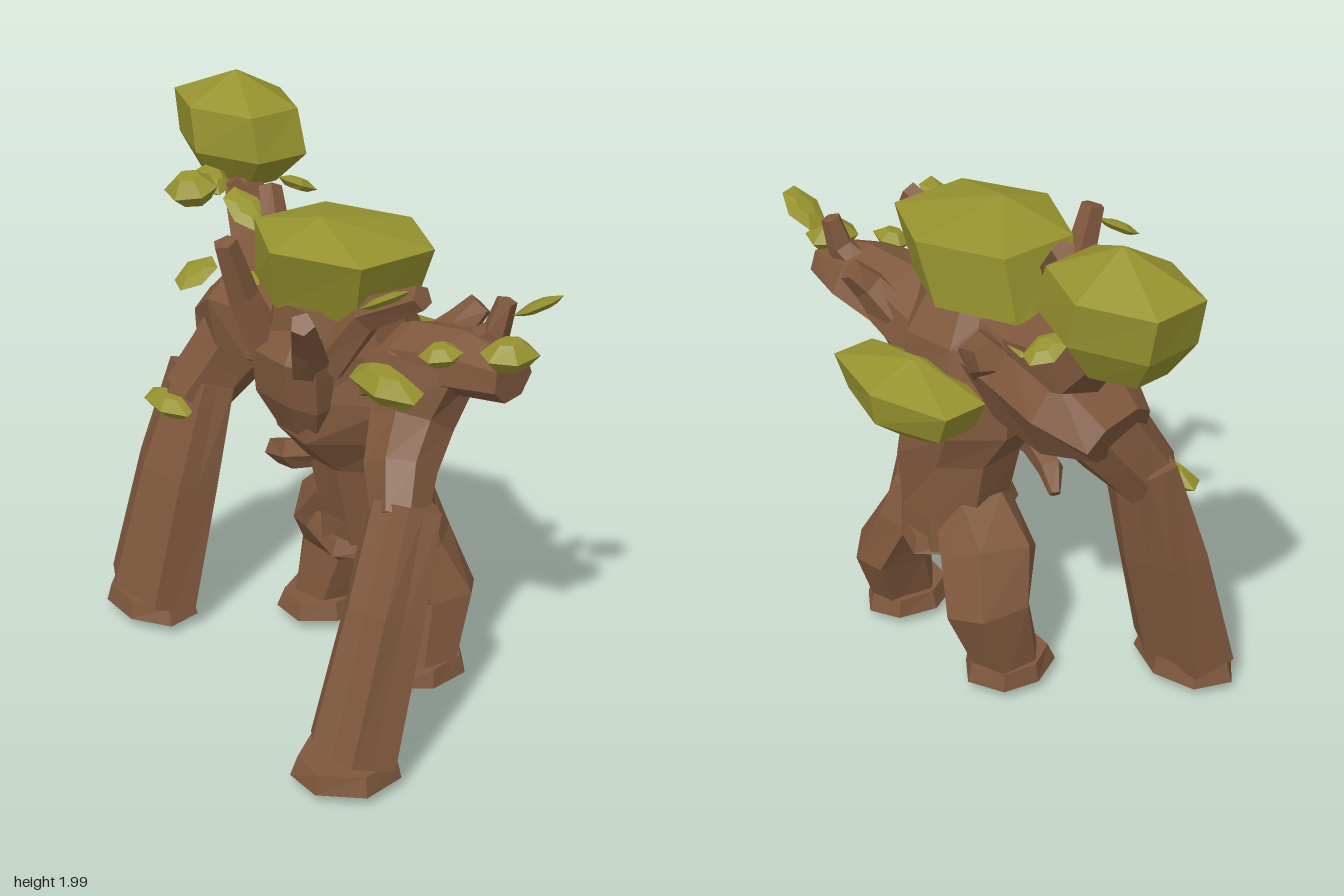
import * as THREE from 'three';

const bark = new THREE.MeshStandardMaterial({ color: 0x7f583d, flatShading: true });
bark.name = 'bark brown';
const leafGreen = new THREE.MeshStandardMaterial({ color: 0x96922f, flatShading: true });
leafGreen.name = 'moss green';

// Small seeded generator for rough, hand-hewn facets
let seed = 7;
const rnd = () => {
  seed = (seed * 16807) % 2147483647;
  return seed / 2147483647;
};

// Skins rings [x, y, z, halfWidth, halfDepth]; level keeps the rings horizontal
function loft(group, name, material, rings, { sides = 7, level = false, rough = 0.07, phase = 0.3, flute = 1 } = {}) {
  const centres = rings.map(r => new THREE.Vector3(r[0], r[1], r[2]));
  const Z = new THREE.Vector3(0, 0, 1);
  const angleJitter = Array.from({ length: sides }, () => (rnd() - 0.5) * rough * 3);
  const loops = rings.map((r, i) => {
    const t = level ? new THREE.Vector3(0, 1, 0)
      : centres[Math.min(i + 1, rings.length - 1)].clone().sub(centres[Math.max(i - 1, 0)]).normalize();
    const w = Z.clone().addScaledVector(t, -t.z).normalize();
    const u = t.clone().cross(w);
    return Array.from({ length: sides }, (_, j) => {
      const a = phase + (j / sides) * Math.PI * 2 + angleJitter[j];
      const k = (1 + (rnd() - 0.5) * 2 * rough) * (j % 2 ? flute : 1);
      return centres[i].clone().addScaledVector(u, r[3] * Math.cos(a) * k).addScaledVector(w, r[4] * Math.sin(a) * k);
    });
  });
  const pos = [];
  const tri = (...p) => p.forEach(v => pos.push(v.x, v.y, v.z));
  const last = rings.length - 1;
  for (let j = 0; j < sides; j++) {
    const n = (j + 1) % sides;
    for (let i = 0; i < last; i++) {
      const a = loops[i][j], b = loops[i + 1][j], c = loops[i + 1][n], d = loops[i][n];
      tri(a, b, d);
      tri(b, c, d);
    }
    tri(centres[0], loops[0][j], loops[0][n]);
    tri(centres[last], loops[last][n], loops[last][j]);
  }
  const geo = new THREE.BufferGeometry();
  geo.setAttribute('position', new THREE.Float32BufferAttribute(pos, 3));
  geo.computeVertexNormals();
  const mesh = new THREE.Mesh(geo, material);
  mesh.name = name;
  group.add(mesh);
}

// Thin faceted leaf pad
function leaf(group, name, [x, y, z], [rx, h, rz], [ax, ay, az]) {
  const pad = new THREE.Group();
  pad.name = name;
  loft(pad, 'leafPad', leafGreen, [
    [0, -h, 0, rx * 0.6, rz * 0.6], [0, 0, 0, rx, rz], [0, h, 0, rx * 0.45, rz * 0.45],
  ], { sides: 6, level: true, rough: 0.06 });
  pad.position.set(x, y, z);
  pad.rotation.set(ax, ay, az);
  group.add(pad);
}

export function createModel() {
  seed = 7;
  const g = new THREE.Group();
  g.name = 'treeGolem';
  const wood = (name, rings, opt) => loft(g, name, bark, rings, opt);

  // Trunk, with head stump on top
  wood('torso', [
    [0.17, 0.42, -0.2, 0.06, 0.06], [0.22, 0.51, -0.2, 0.23, 0.2], [0.22, 0.64, -0.19, 0.21, 0.2],
    [0.21, 0.86, -0.16, 0.24, 0.23], [0.18, 1.0, -0.1, 0.29, 0.29], [0.2, 1.16, -0.08, 0.31, 0.29],
    [0.2, 1.33, -0.06, 0.28, 0.28], [0.2, 1.48, -0.03, 0.22, 0.22],
  ], { level: true, sides: 8 });
  wood('chestBark', [[0.2, 1.0, 0.12, 0.12, 0.05], [0.2, 1.14, 0.16, 0.2, 0.08],
    [0.2, 1.3, 0.17, 0.2, 0.09], [0.2, 1.42, 0.1, 0.13, 0.08]], { level: true });
  wood('waistBark', [[0.22, 0.5, -0.2, 0.25, 0.24], [0.22, 0.56, -0.2, 0.22, 0.21]], { level: true, sides: 6 });
  wood('waistRoot', [[0.2, 0.88, 0.0, 0.05, 0.05], [0.05, 0.83, 0.05, 0.06, 0.05],
    [-0.08, 0.79, 0.02, 0.05, 0.05], [-0.15, 0.73, -0.02, 0.02, 0.02]], { sides: 5 });
  wood('backRoot', [[0.3, 0.72, -0.36, 0.03, 0.03], [0.38, 0.68, -0.25, 0.05, 0.05],
    [0.44, 0.64, -0.1, 0.03, 0.03]], { sides: 5 });

  // Legs: hip, bent knee, ankle, flat foot
  wood('rightLeg', [[0.1, 0.64, -0.2, 0.13, 0.15], [-0.02, 0.5, -0.22, 0.17, 0.18],
    [-0.09, 0.34, -0.29, 0.16, 0.17], [-0.13, 0.09, -0.23, 0.12, 0.13]], { sides: 6 });
  wood('leftLeg', [[0.34, 0.7, -0.2, 0.12, 0.16], [0.38, 0.5, -0.23, 0.13, 0.18],
    [0.45, 0.33, -0.3, 0.13, 0.17], [0.48, 0.09, -0.23, 0.11, 0.13]], { sides: 6 });
  const foot = (name, x, z, rx, rz) => wood(name, [[x, 0.01, z, rx * 0.2, rz * 0.2],
    [x, 0.05, z, rx, rz], [x, 0.12, z, rx * 0.9, rz * 0.88]], { level: true, rough: 0.03 });
  foot('rightFoot', -0.12, -0.22, 0.155, 0.18);
  foot('leftFoot', 0.47, -0.22, 0.14, 0.18);
  foot('rightHand', -0.52, 0.3, 0.22, 0.155);
  foot('leftHand', 0.81, 0.38, 0.18, 0.2);

  // Right arm: broad shoulder, elbow, ridged forearm
  wood('rightShoulder', [[0.1, 1.28, -0.08, 0.2, 0.2], [-0.12, 1.25, -0.08, 0.2, 0.23],
    [-0.34, 1.22, -0.08, 0.2, 0.23], [-0.52, 1.16, -0.06, 0.1, 0.16]]);
  wood('rightUpperArm', [[-0.35, 1.2, -0.06, 0.17, 0.18], [-0.41, 1.04, 0.04, 0.15, 0.15],
    [-0.46, 0.9, 0.13, 0.13, 0.12]]);
  wood('rightForearm', [[-0.45, 0.98, 0.1, 0.17, 0.1], [-0.48, 0.6, 0.19, 0.21, 0.14],
    [-0.51, 0.11, 0.3, 0.23, 0.15]], { sides: 12, flute: 0.83, rough: 0.04 });

  // Left arm: stump shoulder, elbow, ridged forearm
  wood('leftShoulder', [[0.36, 1.22, -0.12, 0.15, 0.2], [0.52, 1.31, -0.15, 0.13, 0.2],
    [0.7, 1.35, -0.19, 0.11, 0.17], [0.88, 1.35, -0.22, 0.08, 0.1]]);
  wood('leftUpperArm', [[0.58, 1.32, -0.12, 0.17, 0.17], [0.6, 1.14, -0.04, 0.14, 0.15],
    [0.68, 1.02, 0.07, 0.13, 0.12], [0.76, 0.9, 0.14, 0.1, 0.1]]);
  wood('leftForearm', [[0.75, 0.95, 0.11, 0.155, 0.11], [0.79, 0.6, 0.22, 0.165, 0.14],
    [0.81, 0.11, 0.36, 0.18, 0.16]], { sides: 12, flute: 0.83, rough: 0.04 });

  // Branches: each tapers through its path points
  const branch = (name, path, r) => wood(name,
    path.map((p, i) => [...p, r * (1 - 0.22 * i), r * (1 - 0.22 * i)]), { sides: 5, rough: 0.04 });
  branch('rightShoulderBranch', [[-0.18, 1.36, -0.12], [-0.42, 1.43, -0.16], [-0.56, 1.56, -0.19], [-0.7, 1.67, -0.24]], 0.15);
  branch('rightTwig', [[-0.44, 1.45, -0.15], [-0.46, 1.58, -0.13], [-0.5, 1.67, -0.08]], 0.05);
  branch('frontBranch', [[0.09, 1.27, 0.18], [0.05, 1.48, 0.26], [0.05, 1.69, 0.33]], 0.075);
  branch('cheekBranch', [[0.3, 1.27, 0.16], [0.38, 1.41, 0.24], [0.48, 1.54, 0.33]], 0.075);
  branch('leftBranch', [[0.33, 1.3, 0.1], [0.46, 1.5, 0.05], [0.68, 1.62, 0.0]], 0.08);
  branch('rightBranch', [[0.08, 1.38, 0.02], [-0.08, 1.56, 0.02], [-0.22, 1.73, -0.05]], 0.075);
  branch('leftShoulderTwig', [[0.68, 1.38, -0.22], [0.75, 1.46, -0.26], [0.77, 1.57, -0.28]], 0.065);
  branch('backTwig', [[0.45, 1.3, -0.25], [0.53, 1.4, -0.3], [0.56, 1.47, -0.36]], 0.08);
  branch('backBranch', [[0.0, 1.3, -0.2], [-0.08, 1.38, -0.3], [-0.18, 1.42, -0.34]], 0.1);

  // Big foliage crowns
  const crown = (name, rings) => loft(g, name, leafGreen, rings,
    { sides: 6, level: true, rough: 0.02, phase: Math.PI / 2 });
  crown('headCrown', [[0.15, 1.46, -0.05, 0.33, 0.25], [0.22, 1.69, -0.03, 0.35, 0.3], [0.2, 1.76, 0.04, 0.01, 0.01]]);
  crown('rightCrown', [[-0.72, 1.6, -0.27, 0.17, 0.13], [-0.7, 1.73, -0.27, 0.3, 0.21],
    [-0.74, 1.89, -0.27, 0.29, 0.21], [-0.72, 2.0, -0.26, 0.01, 0.01]]);
  crown('backCrown', [[0.18, 1.0, -0.38, 0.12, 0.07], [0.18, 1.09, -0.4, 0.29, 0.16],
    [0.18, 1.21, -0.41, 0.36, 0.17], [0.18, 1.28, -0.38, 0.02, 0.02]]);

  // Leaf pads: name, position, radii, tilt
  [
    ['frontLeaf', [0.01, 1.59, 0.42], [0.08, 0.015, 0.085], [0.5, 0, 0]],
    ['rightBranchLeaf', [-0.24, 1.66, 0.04], [0.11, 0.015, 0.07], [0.2, 0, -0.55]],
    ['leftBranchLeaf', [0.59, 1.6, 0.08], [0.11, 0.015, 0.07], [0.1, 0, 0.5]],
    ['leftShoulderLeaf', [0.59, 1.3, 0.07], [0.19, 0.05, 0.08], [0.1, 0, 0]],
    ['leftMiddleLeaf', [0.73, 1.43, -0.04], [0.08, 0.03, 0.07], [0.2, 0, 0.1]],
    ['leftOuterLeaf', [0.88, 1.44, -0.2], [0.09, 0.045, 0.11], [0, 0, 0]],
    ['leftTipLeaf', [0.88, 1.58, -0.32], [0.11, 0.015, 0.08], [0.2, 0, 0.5]],
    ['rightShoulderLeaf', [-0.24, 1.4, 0.04], [0.09, 0.02, 0.07], [0.1, 0, 0.05]],
    ['rightBackLeaf', [-0.22, 1.43, -0.2], [0.11, 0.025, 0.07], [-0.1, 0, 0]],
    ['rightTwigLeaf', [-0.55, 1.66, 0.06], [0.11, 0.05, 0.09], [0.3, 0, 0]],
    ['rightTipLeaf', [-0.58, 1.66, -0.05], [0.08, 0.03, 0.07], [0.1, 0, -0.5]],
    ['rightRearLeaf', [-0.5, 1.6, -0.38], [0.07, 0.02, 0.08], [-0.4, 0, 0]],
    ['rightElbowLeaf', [-0.48, 0.88, 0.22], [0.15, 0.035, 0.07], [0.1, 0, 0]],
  ].forEach(l => leaf(g, ...l));

  return g;
}
